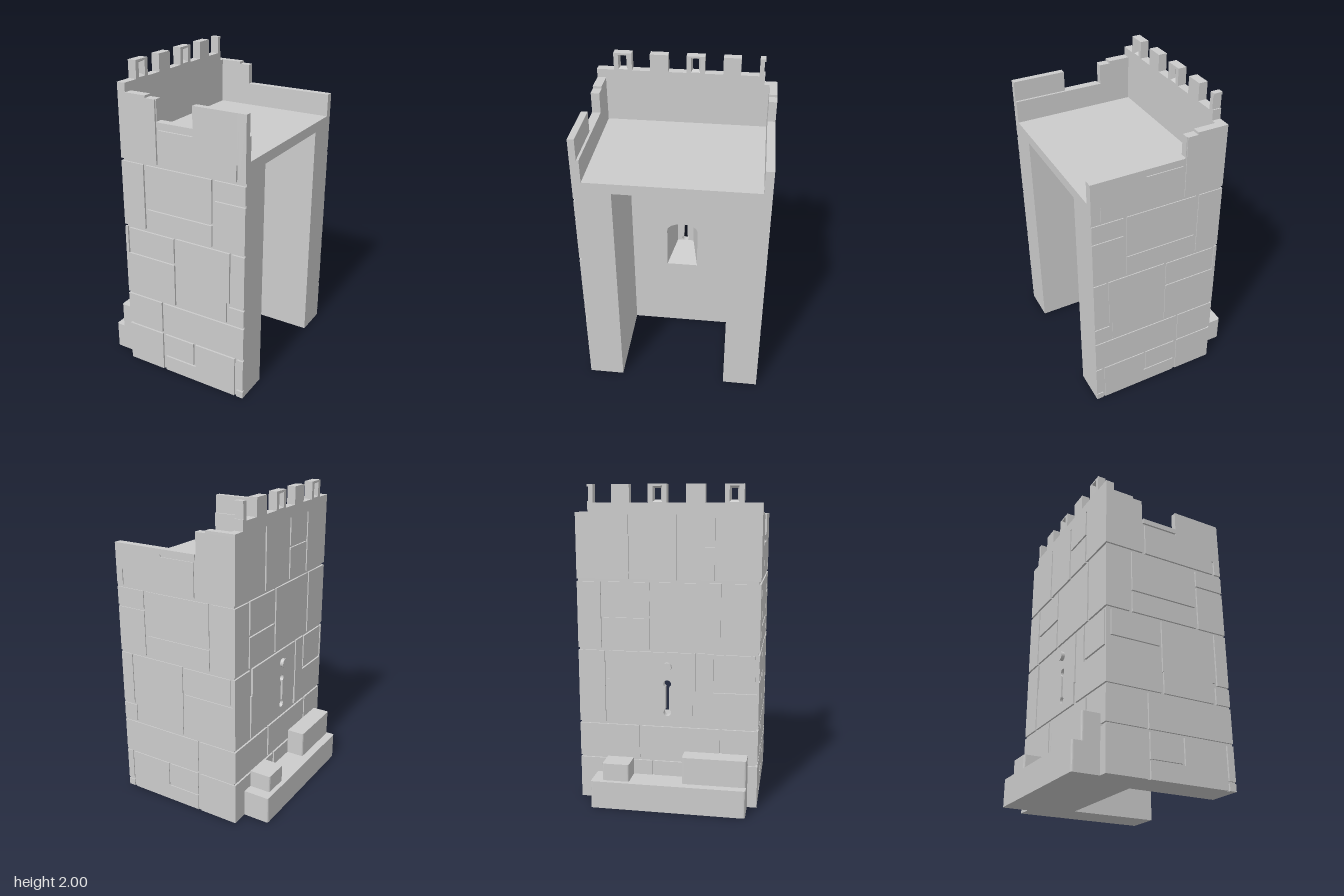
import * as THREE from 'three';

const material = new THREE.MeshStandardMaterial({ color: 0xcccccc, flatShading: true });
const doubleSided = new THREE.MeshStandardMaterial({ color: 0xcccccc, flatShading: true, side: THREE.DoubleSide });

function add(parent, name, geometry, mat = material) {
  const mesh = new THREE.Mesh(geometry, mat);
  mesh.name = name;
  parent.add(mesh);
  return mesh;
}

// Box given by its limits on each axis
function box(parent, name, x0, x1, y0, y1, z0, z1) {
  const g = new THREE.BoxGeometry(x1 - x0, y1 - y0, z1 - z0);
  g.translate((x0 + x1) / 2, (y0 + y1) / 2, (z0 + z1) / 2);
  return add(parent, name, g);
}

function polygon(points, Type = THREE.Shape) {
  return new Type(points.map(([u, v]) => new THREE.Vector2(u, v)));
}
const rect = (u0, u1, v0, v1) => [[u0, v0], [u1, v0], [u1, v1], [u0, v1]];

// Extrude an outline drawn in (z, y) between two x positions
function alongX(parent, name, outline, x0, x1, holes = []) {
  const shape = polygon(outline);
  shape.holes.push(...holes);
  const g = new THREE.ExtrudeGeometry(shape, { depth: x1 - x0, bevelEnabled: false, curveSegments: 8 });
  g.rotateY(-Math.PI / 2).translate(x1, 0, 0);
  return add(parent, name, g);
}

// Arrow slit: a narrow bar with a round hole at each end
function slit() {
  const p = new THREE.Path(), a = Math.PI / 3;
  p.absarc(0, 0.78, 0.024, -a, Math.PI + a, false);
  p.absarc(0, 0.596, 0.024, Math.PI - a, 2 * Math.PI + a, false);
  p.closePath();
  return p;
}

// Window outline with a low arched top
function arch(half, bottom, shoulder, top) {
  const pts = [[-half, bottom], [half, bottom]];
  for (let i = 0; i <= 12; i++) {
    const t = (i / 12) * Math.PI;
    pts.push([half * Math.cos(t), shoulder + (top - shoulder) * Math.sin(t)]);
  }
  return pts;
}

// Tapered surface joining two matching (z, y) loops
function taper(a, xa, b, xb) {
  const pos = [];
  a.forEach((p, i) => {
    const j = (i + 1) % a.length;
    const A = [xa, p[1], p[0]], B = [xa, a[j][1], a[j][0]];
    const C = [xb, b[j][1], b[j][0]], D = [xb, b[i][1], b[i][0]];
    pos.push(...A, ...B, ...C, ...A, ...C, ...D);
  });
  const g = new THREE.BufferGeometry();
  g.setAttribute('position', new THREE.Float32BufferAttribute(pos, 3));
  g.computeVertexNormals();
  return g;
}

// Stones of the two long faces: x0, x1, y0, y1
const sideStones = [
  [-0.345, -0.085, 0, 0.27], [-0.065, 0.15, 0.115, 0.27], [-0.065, 0.45, 0, 0.105],
  [0.165, 0.45, 0.105, 0.27], [0.465, 0.51, 0, 0.045], [0.465, 0.51, 0.057, 0.27],
  [-0.345, -0.085, 0.285, 0.5], [-0.07, 0.51, 0.285, 0.5],
  [-0.345, 0.02, 0.515, 0.797], [-0.345, -0.325, 0.797, 0.98], [-0.31, 0.02, 0.812, 0.975],
  [0.04, 0.39, 0.515, 0.65], [0.035, 0.41, 0.65, 0.98],
  [0.41, 0.51, 0.515, 0.625], [0.425, 0.51, 0.638, 0.98],
  [-0.345, -0.185, 0.995, 1.413], [-0.165, 0.29, 0.995, 1.128], [-0.165, 0.29, 1.142, 1.413],
  [0.31, 0.51, 0.995, 1.287], [0.31, 0.51, 1.3, 1.413],
  [-0.345, -0.085, 1.43, 1.82], [-0.065, 0.17, 1.43, 1.642], [-0.075, 0.17, 1.656, 1.69],
  [0.17, 0.45, 1.43, 1.82], [0.465, 0.51, 1.43, 1.82], [0.45, 0.465, 1.53, 1.82],
];

// Stones of the outer face: z0, z1, y0, y1
const outerStones = [
  [-0.564, -0.1, 0, 0.27], [-0.085, 0.4, 0, 0.27], [0.415, 0.558, 0, 0.27],
  [-0.564, -0.18, 0.285, 0.5], [-0.165, 0.33, 0.285, 0.5], [0.345, 0.558, 0.285, 0.5],
  [-0.564, -0.4, 0.515, 0.98], [0.19, 0.558, 0.515, 0.735], [0.19, 0.29, 0.735, 0.98],
  [0.305, 0.545, 0.75, 0.975],
  [-0.564, -0.42, 0.995, 1.413], [-0.405, -0.11, 0.995, 1.19], [-0.405, -0.11, 1.205, 1.413],
  [-0.095, 0.33, 0.995, 1.413], [0.345, 0.558, 0.995, 1.413],
  [-0.564, -0.24, 1.43, 1.82], [-0.225, 0.06, 1.43, 1.82], [0.075, 0.29, 1.43, 1.63],
  [0.075, 0.29, 1.645, 1.82], [0.305, 0.558, 1.43, 1.82],
];

export function createModel() {
  const tower = new THREE.Group();
  tower.name = 'tower';
  const zF = 0.558, zB = -0.564, xW = -0.333;

  // Masonry core: open niche with roof, and the wall behind it
  alongX(tower, 'nicheWalls', [[zB, 0], [-0.345, 0], [-0.345, 1.48], [0.345, 1.48],
    [0.345, 0], [zF, 0], [zF, 1.545], [zB, 1.545]], -0.07, 0.51);
  const outer = arch(0.105, 0.53, 0.82, 0.88), inner = arch(0.057, 0.575, 0.8, 0.83);
  alongX(tower, 'windowWall', rect(zB, zF, 0, 1.545), -0.3, -0.07, [polygon(outer, THREE.Path)]);
  alongX(tower, 'slitWall', rect(zB, zF, 0, 1.545), xW, -0.3, [slit()]);
  add(tower, 'windowSplay', taper(outer, -0.07, inner, -0.3), doubleSided);

  // Stone facing
  const facing = new THREE.Group();
  facing.name = 'stoneFacing';
  tower.add(facing);
  for (const [x0, x1, y0, y1] of sideStones) {
    box(facing, 'frontStone', x0, x1, y0, y1, zF, 0.57);
    box(facing, 'backStone', x0, x1, y0, x0 > -0.08 ? Math.min(y1, 1.69) : y1, -0.57, zB);
  }
  for (const [z0, z1, y0, y1] of outerStones) box(facing, 'outerStone', -0.345, xW, y0, y1, z0, z1);
  alongX(facing, 'slitStone', [[-0.385, 0.515], [0.16, 0.515], [0.16, 0.65], [0.175, 0.65],
    [0.175, 0.98], [-0.37, 0.98], [-0.37, 0.8], [-0.385, 0.8]], -0.345, xW, [slit()]);

  // Parapets around the roof floor
  box(tower, 'frontParapet', xW, 0.51, 1.545, 1.69, 0.515, zF);
  box(tower, 'frontParapetEnd', 0.17, 0.51, 1.69, 1.82, 0.53, zF);
  box(tower, 'backParapet', xW, 0.51, 1.545, 1.69, zB, -0.52);
  box(tower, 'outerParapet', xW, -0.29, 1.545, 1.82, -0.52, 0.515);
  for (const [z0, z1] of [[0.515, zF], [zB, -0.52]])
    box(tower, 'parapetCorner', xW, -0.08, 1.69, 1.82, z0, z1);
  box(tower, 'frontCap', -0.29, -0.15, 1.82, 1.835, 0.515, 0.57);
  box(tower, 'backCap', -0.345, -0.15, 1.82, 1.835, -0.57, -0.52);
  box(tower, 'cornerCap', -0.345, -0.29, 1.82, 1.835, -0.52, -0.49);

  // Battlements: merlons, some with a loophole
  const merlons = [[0.46, 0.345], [0.23, 0.115], [0, -0.115], [-0.23, -0.34]];
  const crest = [[-0.49, 1.82], [0.57, 1.82], [0.57, 1.89]];
  for (const [a, b] of merlons) crest.push([a, 1.89], [a, 2], [b, 2], [b, 1.89]);
  crest.push([-0.455, 1.89], [-0.455, 2], [-0.49, 2], [-0.49, 1.985], [-0.483, 1.985],
    [-0.483, 1.9], [-0.49, 1.9]);
  const loop = (z, w, y0, y1) => polygon(rect(z - w, z + w, y0, y1), THREE.Path);
  const centres = [0.402, -0.057];
  alongX(tower, 'battlements', crest, -0.345, -0.29, centres.map((z) => loop(z, 0.029, 1.895, 1.988)));
  for (const z of centres) {
    const wide = rect(z - 0.029, z + 0.029, 1.895, 1.988), slim = rect(z - 0.018, z + 0.018, 1.908, 1.975);
    add(tower, 'loopholeSplay', taper(wide, -0.29, slim, -0.318), doubleSided);
    add(tower, 'loopholeSplay', taper(slim, -0.318, wide, -0.345), doubleSided);
  }

  // Stepped blocks at the foot, with rounded outer corners
  const block = (x0, z0, z1, y0, y1) => {
    const r = 0.015, x1 = xW, s = new THREE.Shape();
    s.moveTo(x1, -z1);
    s.lineTo(x1, -z0);
    s.lineTo(x0 + r, -z0);
    s.quadraticCurveTo(x0, -z0, x0, -z0 - r);
    s.lineTo(x0, -z1 + r);
    s.quadraticCurveTo(x0, -z1, x0 + r, -z1);
    const g = new THREE.ExtrudeGeometry(s, { depth: y1 - y0, bevelEnabled: false, curveSegments: 5 });
    g.rotateX(-Math.PI / 2).translate(0, y0, 0);
    add(tower, 'footBlock', g);
  };
  block(-0.515, -0.46, 0.51, 0, 0.175);
  block(-0.485, -0.39, -0.22, 0.175, 0.285);
  block(-0.46, 0.11, 0.51, 0.175, 0.345);

  // Peg above the arrow slit
  const peg = new THREE.CylinderGeometry(0.029, 0.029, 0.04, 24);
  peg.rotateZ(Math.PI / 2).translate(-0.348, 0.89, 0);
  add(tower, 'peg', peg);

  return tower;
}
